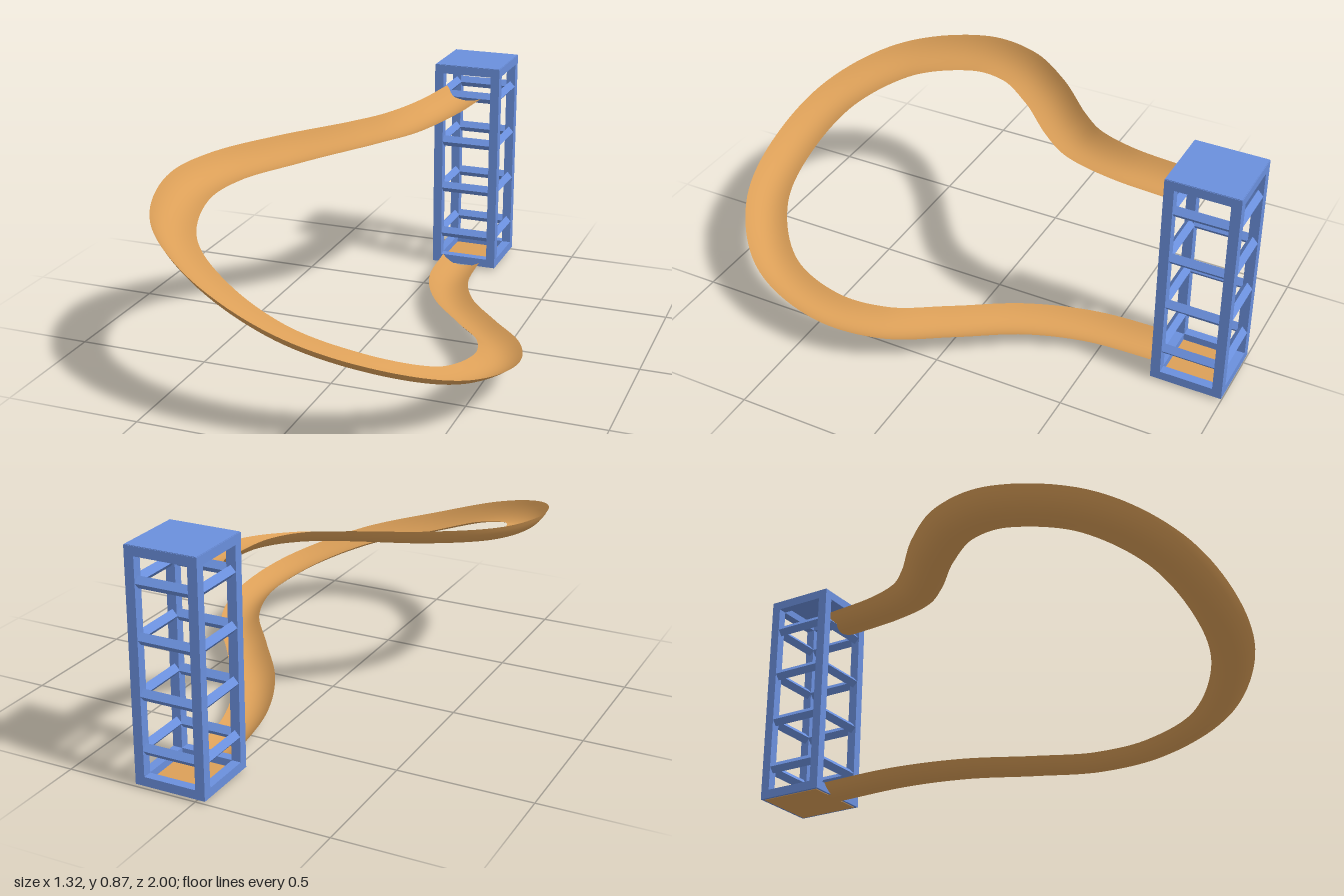
import * as THREE from 'three';

const BLUE = 0x6a8fdc, TAN = 0xdb9f58;
const CX = 0.0975, CZ = -0.865, HALF = 0.1355; // tower centre and half width

function add(parent, name, geometry, material, x = 0, y = 0, z = 0) {
  const mesh = new THREE.Mesh(geometry, material);
  mesh.name = name;
  mesh.position.set(x, y, z);
  parent.add(mesh);
  return mesh;
}

// Square mitred frame swept from a [half width, height] profile
function squareRing(profile) {
  const pts = [...profile, profile[0]].map(([h, y]) => new THREE.Vector2(h * Math.SQRT2, y));
  return new THREE.LatheGeometry(pts, 4, Math.PI / 4);
}

function createTower() {
  const tower = new THREE.Group();
  tower.name = 'tower';
  tower.position.set(CX, 0, CZ);
  const blue = new THREE.MeshStandardMaterial({ color: BLUE, flatShading: true });
  const tan = new THREE.MeshStandardMaterial({ color: TAN });

  // Corner posts
  const w = 0.036, post = new THREE.BoxGeometry(w, 0.85, w);
  for (const sx of [-1, 1]) for (const sz of [-1, 1])
    add(tower, 'post', post, blue, sx * (HALF - w / 2), 0.4375, sz * (HALF - w / 2));

  // Diamond-section rails around the tower
  const rail = squareRing([[HALF - 0.04, 0], [HALF - 0.02, -0.022], [HALF, 0], [HALF - 0.02, 0.022]]);
  for (const y of [0.14, 0.34, 0.54, 0.737]) add(tower, 'rail', rail, blue, 0, y, 0);

  // Square-section frames at the bottom and top
  const i = HALF - 0.035;
  const frame = squareRing([[i, 0], [HALF, 0], [HALF, 0.034], [i, 0.034]]);
  add(tower, 'bottomFrame', frame, blue, 0, 0.01, 0);
  add(tower, 'topFrame', frame, blue, 0, 0.83, 0);

  // Roof and floor panels
  const roof = new THREE.BoxGeometry(2 * HALF - 0.004, 0.008, 2 * HALF - 0.004);
  add(tower, 'roof', roof, blue, 0, 0.862, 0);
  const floor = new THREE.BoxGeometry(2 * HALF - 0.02, 0.008, 2 * HALF - 0.02);
  add(tower, 'floor', floor, tan, 0, 0.012, 0);
  return tower;
}

// Centre line of the slide: x, y, z, height of the outer rim over the inner rim
const PATH = [
  [0.083, 0.757, -0.745, 0.035], [0.05, 0.752, -0.5, 0.04], [-0.03, 0.733, -0.32, 0.05],
  [-0.14, 0.715, -0.2, 0.055], [-0.37, 0.68, 0.0, 0.07], [-0.535, 0.655, 0.2, 0.075],
  [-0.585, 0.632, 0.4, 0.08], [-0.5, 0.575, 0.68, 0.075], [-0.28, 0.49, 0.86, 0.06],
  [0, 0.382, 0.92, 0.045], [0.28, 0.295, 0.865, 0.025], [0.5, 0.205, 0.68, 0.01],
  [0.575, 0.15, 0.42, -0.01], [0.525, 0.118, 0.2, -0.02], [0.38, 0.093, 0, -0.02],
  [0.22, 0.072, -0.22, -0.02], [0.125, 0.053, -0.45, -0.02], [0.085, 0.034, -0.745, -0.02],
];

// Banked shallow trough swept along the centre line
function slideGeometry(segments = 160, across = 12, halfWidth = 0.0785, sag = 0.034) {
  const curve = new THREE.CatmullRomCurve3(PATH.map(p => new THREE.Vector3(p[0], p[1], p[2])));
  const bank = new THREE.CatmullRomCurve3(PATH.map((p, i) => new THREE.Vector3(p[3], i, 0)));
  const positions = [], index = [];
  for (let i = 0; i <= segments; i++) {
    const t = i / segments;
    const centre = curve.getPoint(t), tangent = curve.getTangent(t);
    const side = new THREE.Vector3(-tangent.z, 0, tangent.x).setLength(halfWidth);
    side.y = bank.getPoint(t).x / 2;
    const normal = new THREE.Vector3().crossVectors(side, tangent).normalize();
    for (let j = 0; j <= across; j++) {
      const u = 2 * j / across - 1;
      const p = centre.clone().addScaledVector(side, u).addScaledVector(normal, -sag * (1 - u * u));
      positions.push(p.x, p.y, p.z);
      if (i < segments && j < across) {
        const a = i * (across + 1) + j, b = a + across + 1;
        index.push(a, a + 1, b, b, a + 1, b + 1);
      }
    }
  }
  const g = new THREE.BufferGeometry();
  g.setAttribute('position', new THREE.Float32BufferAttribute(positions, 3));
  g.setIndex(index);
  g.computeVertexNormals();
  return g;
}

export function createModel() {
  const model = new THREE.Group();
  model.name = 'slideTower';
  model.add(createTower());
  const tan = new THREE.MeshStandardMaterial({ color: TAN, side: THREE.DoubleSide });
  add(model, 'slide', slideGeometry(), tan);
  return model;
}
